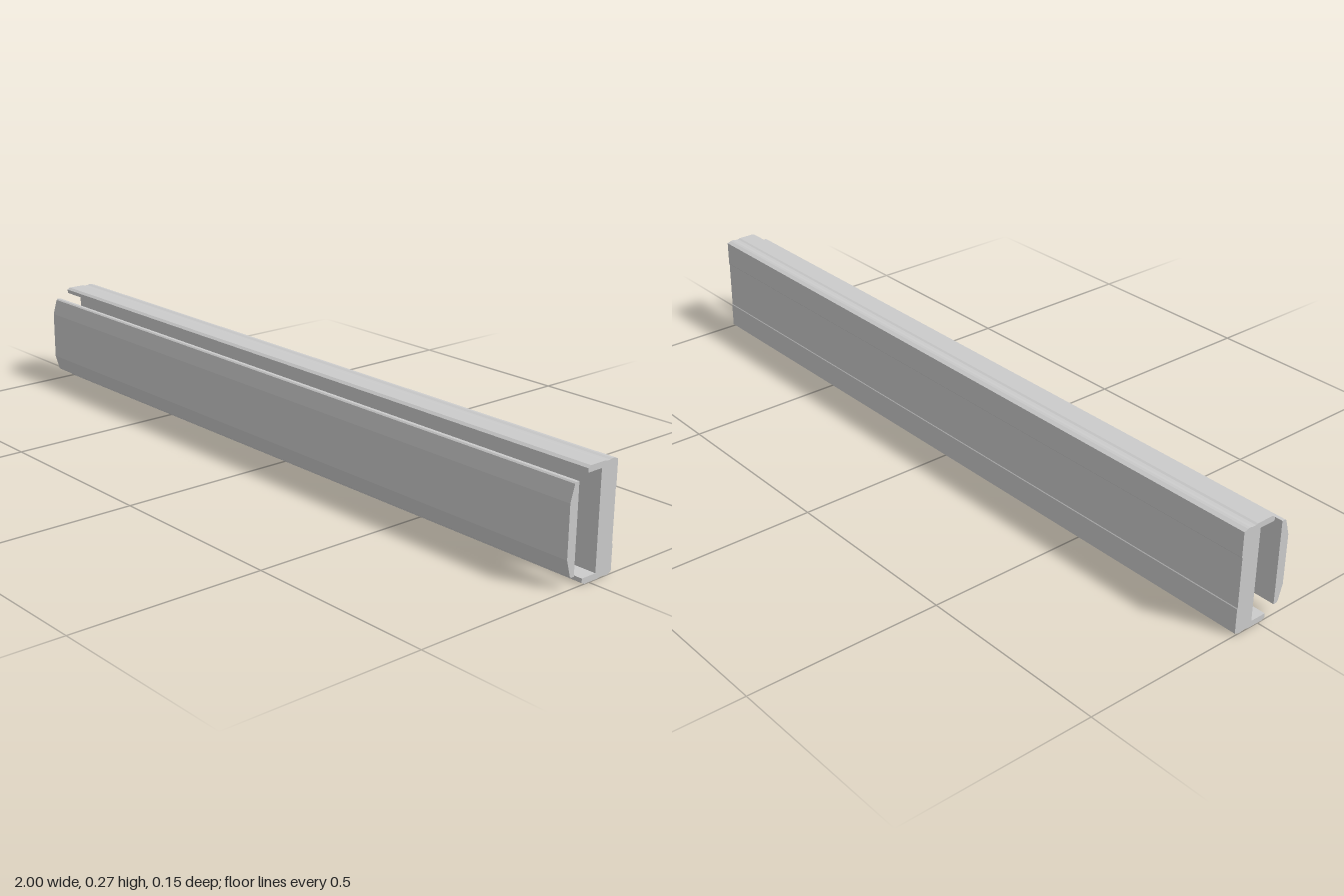
import * as THREE from 'three';

const LENGTH = 2, MID = 0.1355;

// Extrudes a [z, y] half profile (upper half, mirrored about MID) along x.
function rail(name, half) {
  const lower = half.map(([z, y]) => [z, 2 * MID - y]).reverse();
  const shape = new THREE.Shape([...half, ...lower].map(([z, y]) => new THREE.Vector2(-z, y)));
  const geometry = new THREE.ExtrudeGeometry(shape, { depth: LENGTH, bevelEnabled: false });
  geometry.translate(0, 0, -LENGTH / 2).rotateY(Math.PI / 2);
  const mesh = new THREE.Mesh(geometry, new THREE.MeshStandardMaterial({ color: 0xcccccc, flatShading: true }));
  mesh.name = name;
  return mesh;
}

export function createModel() {
  const group = new THREE.Group();
  group.name = 'railAssembly';

  // C-shaped channel: inner wall, lip, grooved top, recessed back
  group.add(rail('channel', [
    [-0.021, 0.256], [0.023, 0.256], [0.023, 0.266], [0.015, 0.271],
    [-0.031, 0.271], [-0.037, 0.269], [-0.047, 0.269], [-0.055, 0.271],
    [-0.062, 0.27], [-0.073, 0.266], [-0.073, 0.202], [-0.0715, 0.2],
  ]));

  // Separate cover strip with chamfered face
  group.add(rail('coverStrip', [
    [0.05, 0.244], [0.059, 0.244], [0.063, 0.241], [0.075, 0.2],
  ]));
  return group;
}
